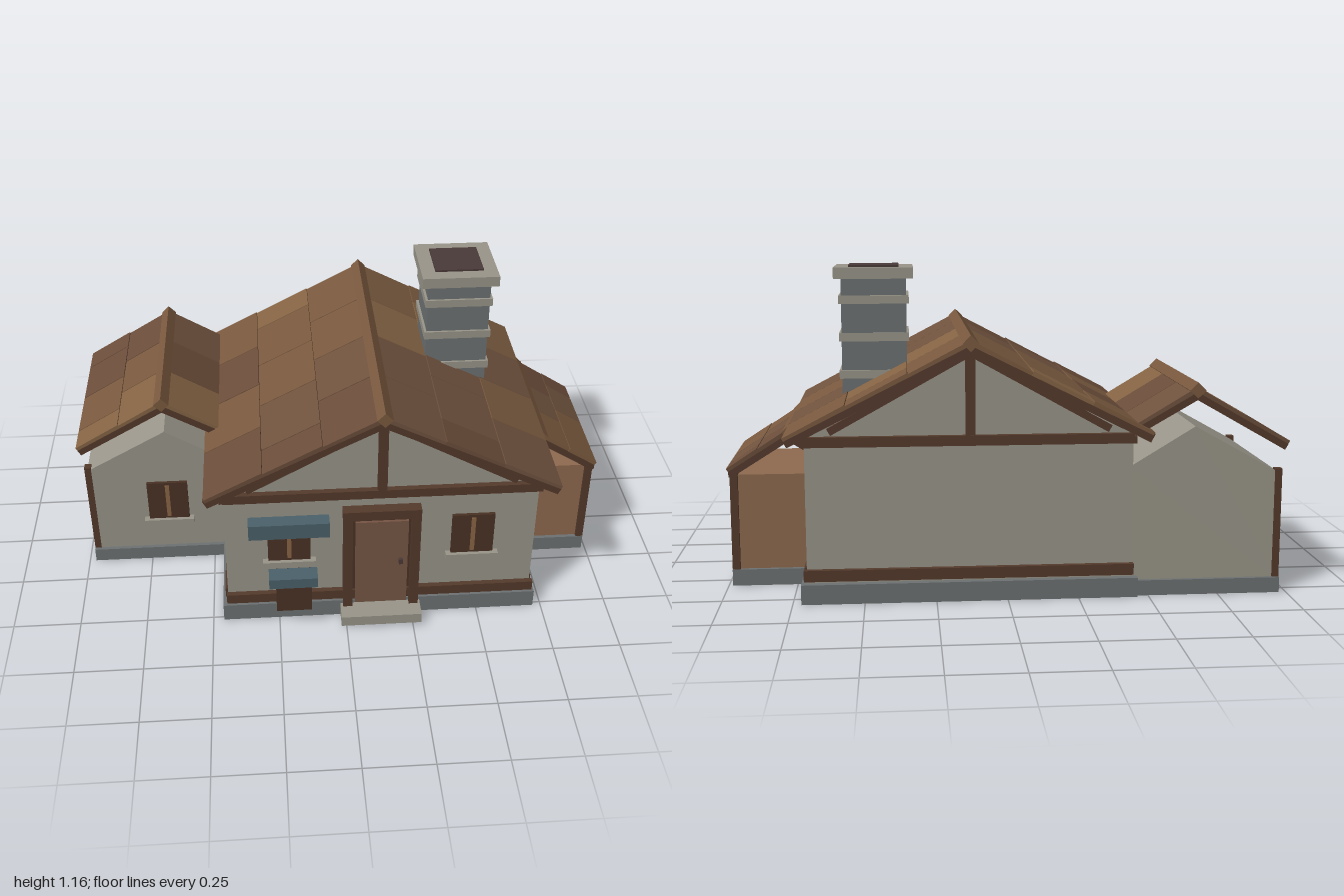
import * as THREE from 'three';

const mat = (color) => new THREE.MeshStandardMaterial({ color, flatShading: true });
const M = {
  wall: mat(0x9a968a), stone: mat(0x6e7272), trim: mat(0x9a968a), beam: mat(0x553a2c),
  door: mat(0x775644), plank: mat(0x8f6b50), pane: mat(0x8a6545), blue: mat(0x4b616b),
  dark: mat(0x4a3a38), frame: mat(0x4a3224),
};
const tileMats = [0x7a5a3f, 0x6b4d3a, 0x856444, 0x70533f].map(mat);

export function createModel() {
  const model = new THREE.Group();
  model.name = 'cottage';

  // Box given by its extents on each axis
  const box = (name, m, x0, x1, y0, y1, z0, z1, parent = model) => {
    const mesh = new THREE.Mesh(new THREE.BoxGeometry(x1 - x0, y1 - y0, z1 - z0), m);
    mesh.position.set((x0 + x1) / 2, (y0 + y1) / 2, (z0 + z1) / 2);
    mesh.name = name;
    parent.add(mesh);
    return mesh;
  };
  // Outline in x and y, extruded from z0 to z1
  const prism = (name, m, pts, z0, z1) => {
    const shape = new THREE.Shape(pts.map(([x, y]) => new THREE.Vector2(x, y)));
    const mesh = new THREE.Mesh(new THREE.ExtrudeGeometry(shape, { depth: z1 - z0, bevelEnabled: false }), m);
    mesh.position.z = z0;
    mesh.name = name;
    model.add(mesh);
  };
  // Straight timber between two points in a plane of constant z
  const timber = (name, ax, ay, bx, by, z, width, depth) => {
    const len = Math.hypot(bx - ax, by - ay);
    const mesh = box(name, M.beam, -len / 2, len / 2, -width / 2, width / 2, -depth / 2, depth / 2);
    mesh.position.set((ax + bx) / 2, (ay + by) / 2, z);
    mesh.rotation.z = Math.atan2(by - ay, bx - ax);
  };
  // One roof slope: a board with staggered rows of overlapping tiles
  const slope = (name, rx, ry, ex, ey, z0, z1, rows, tileW, seed) => {
    const side = ex < rx ? -1 : 1;
    const len = Math.hypot(ex - rx, ey - ry);
    const turn = new THREE.Group(), tilt = new THREE.Group();
    turn.name = name;
    turn.position.set(rx, ry, (z0 + z1) / 2);
    turn.rotation.y = side < 0 ? Math.PI : 0;
    tilt.rotation.z = -Math.atan2(ry - ey, Math.abs(ex - rx));
    turn.add(tilt);
    model.add(turn);
    const h = (z1 - z0) / 2;
    box('roofBoard', M.beam, 0, len, -0.034, -0.01, -h, h, tilt);
    const step = len / rows;
    for (let r = 0; r < rows; r++) {
      const offset = r % 2 ? tileW / 2 : 0;
      for (let z = -h - offset, i = 0; z < h - 0.005; z += tileW, i++) {
        const a = Math.max(z, -h), b = Math.min(z + tileW, h);
        if (b - a < 0.01) continue;
        const m = tileMats[(r * 3 + i * 5 + ((i * i + r) % 3) + seed) % tileMats.length];
        const tile = box('roofTile', m, r * step, (r + 1) * step, -0.012, 0.004, a + 0.002, b - 0.002, tilt);
        tile.rotation.z = -0.018;
      }
    }
  };
  // Square ridge pole turned on its corner
  const ridge = (x, y, z0, z1, s) => {
    const mesh = box('ridgeCap', tileMats[0], -s / 2, s / 2, -s / 2, s / 2, z0, z1);
    mesh.position.x = x;
    mesh.position.y = y;
    mesh.rotation.z = Math.PI / 4;
  };

  // Stone foundations
  box('mainFoundation', M.stone, -0.46, 0.72, 0, 0.07, -0.565, 0.515);
  box('wingFoundation', M.stone, -0.975, -0.44, 0, 0.055, -0.55, 0.14);
  box('annexFoundation', M.stone, 0.7, 0.985, 0, 0.06, -0.32, 0.195);

  // Walls
  prism('mainWalls', M.wall, [[-0.44, 0.06], [0.7, 0.06], [0.7, 0.58], [0.13, 0.875], [-0.44, 0.58]], -0.54, 0.495);
  prism('wingWalls', M.wall, [[-0.965, 0.05], [-0.43, 0.05], [-0.43, 0.465], [-0.66, 0.605], [-0.965, 0.435]], -0.535, 0.125);
  box('annexWalls', M.plank, 0.69, 0.967, 0.05, 0.41, -0.305, 0.18);

  // Roofs
  slope('mainRoofRight', 0.13, 0.912, 0.77, 0.59, -0.59, 0.545, 3, 0.284, 0);
  slope('mainRoofLeft', 0.13, 0.912, -0.505, 0.594, -0.59, 0.545, 3, 0.284, 1);
  ridge(0.13, 0.908, -0.595, 0.547, 0.04);
  slope('wingRoofLeft', -0.66, 0.74, -0.993, 0.55, -0.555, 0.137, 2, 0.23, 2);
  slope('wingRoofRight', -0.66, 0.74, -0.44, 0.613, -0.555, 0.137, 1, 0.23, 3);
  ridge(-0.66, 0.735, -0.56, 0.14, 0.04);
  slope('annexRoofRight', 0.77, 0.575, 0.993, 0.435, -0.335, 0.208, 2, 0.18, 1);
  slope('annexRoofLeft', 0.77, 0.575, 0.69, 0.525, -0.335, 0.208, 1, 0.18, 2);
  ridge(0.77, 0.568, -0.337, 0.21, 0.034);

  // Timber framing on the front and back gables
  for (const [z, s] of [[0.505, 1], [-0.55, -1]]) {
    box('gableTieBeam', M.beam, -0.44, 0.71, 0.553, 0.588, z - 0.012, z + 0.012);
    box('baseBeam', M.beam, -0.445, 0.71, 0.08, 0.12, z - 0.01, z + 0.01);
    box('kingPost', M.beam, 0.113, 0.147, 0.585, 0.885, z - 0.011, z + 0.011);
    for (const k of [-1, 1]) {
      timber('gableBrace', 0.13 + k * 0.485, 0.605, 0.13, 0.875, z, 0.026, 0.018);
      timber('bargeBoard', 0.13 + k * 0.63, 0.575, 0.13, 0.893, z + s * 0.027, 0.034, 0.02);
    }
  }
  // Timber along the side walls
  for (const x of [-0.44, 0.7]) {
    box('sideBaseBeam', M.beam, x - 0.01, x + 0.01, 0.08, 0.12, -0.52, 0.475);
    box('sideEaveBeam', M.beam, x - 0.012, x + 0.012, 0.55, 0.575, -0.55, 0.51);
  }
  // Corner posts of the wing and the annex
  for (const z of [-0.525, 0.112]) box('wingPost', M.beam, -0.975, -0.95, 0.05, 0.45, z - 0.014, z + 0.014);
  for (const z of [-0.302, 0.178]) box('annexPost', M.beam, 0.957, 0.985, 0.03, 0.425, z - 0.015, z + 0.015);
  box('annexEaveBeam', M.beam, 0.957, 0.987, 0.405, 0.43, -0.33, 0.205);

  // Chimney
  const chimney = new THREE.Group();
  chimney.name = 'chimney';
  chimney.position.set(0.46, 0, -0.143);
  model.add(chimney);
  const course = (name, m, w, y0, y1) => box(name, m, -w / 2, w / 2, y0, y1, -w / 2, w / 2, chimney);
  course('stack', M.stone, 0.234, 0.6, 1.11);
  for (const y of [0.75, 0.885, 1.02]) course('stoneBand', M.trim, 0.252, y, y + 0.03);
  course('cap', M.trim, 0.285, 1.11, 1.15);
  course('flue', M.dark, 0.18, 1.13, 1.157);

  // Door and step
  box('doorStep', M.trim, -0.02, 0.28, 0.015, 0.057, 0.5, 0.595);
  for (const x of [-0.01, 0.238]) box('doorPost', M.beam, x, x + 0.034, 0.057, 0.475, 0.49, 0.535);
  box('doorLintel', M.beam, -0.012, 0.272, 0.47, 0.508, 0.49, 0.537);
  box('doorFrame', M.frame, 0.02, 0.243, 0.057, 0.472, 0.49, 0.508);
  box('doorLeaf', M.door, 0.035, 0.229, 0.06, 0.445, 0.49, 0.518);
  box('doorHandle', M.dark, 0.196, 0.21, 0.25, 0.272, 0.51, 0.53);

  // Windows with a glowing slit, mullion and sill
  const windowAt = (x, y0, y1, z) => {
    box('windowFrame', M.frame, x - 0.078, x + 0.078, y0, y1, z - 0.01, z + 0.012);
    box('windowPane', M.pane, x - 0.008, x + 0.008, y0 + 0.015, y1 - 0.012, z, z + 0.016);
    box('windowSill', M.trim, x - 0.097, x + 0.097, y0 - 0.023, y0 + 0.003, z - 0.01, z + 0.026);
  };
  windowAt(-0.207, 0.273, 0.45, 0.495);
  windowAt(0.468, 0.273, 0.45, 0.495);
  windowAt(-0.667, 0.198, 0.372, 0.125);

  // Awning and the lidded box below it
  box('awning', M.blue, -0.353, -0.06, 0.41, 0.473, 0.49, 0.548);
  box('boxBody', M.frame, -0.26, -0.13, 0.095, 0.225, 0.49, 0.583);
  box('boxLid', M.blue, -0.285, -0.107, 0.218, 0.26, 0.535, 0.598);

  return model;
}
